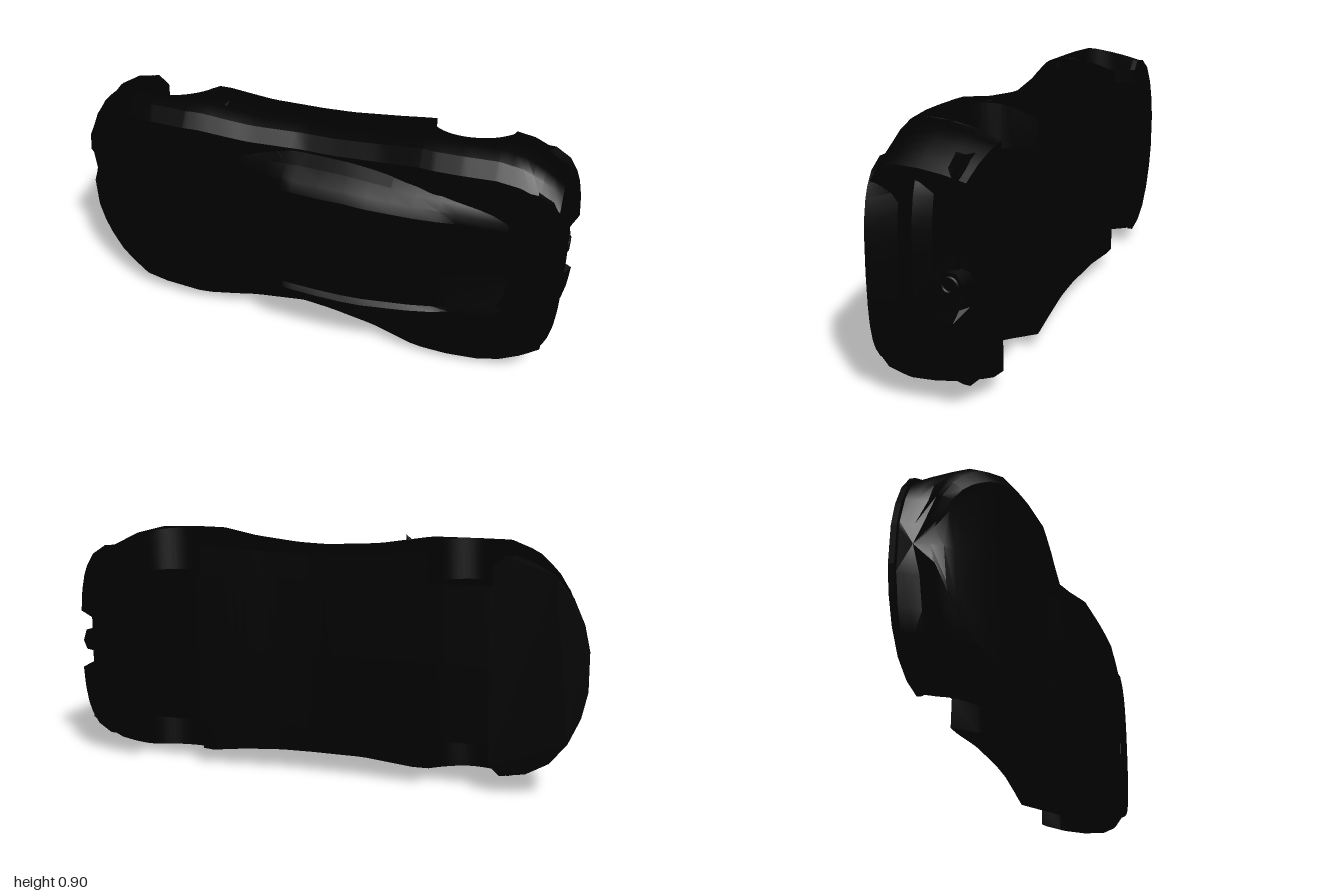
import * as THREE from 'three';
import { toCreasedNormals } from 'three/addons/utils/BufferGeometryUtils.js';

const MID = 0.45; // centre line of the car, which stands on its side

// Piecewise linear lookup in [x, value] pairs
function at(table, x) {
  if (x <= table[0][0]) return table[0][1];
  for (let i = 1; i < table.length; i++) {
    const [x0, v0] = table[i - 1], [x1, v1] = table[i];
    if (x <= x1) return v0 + (v1 - v0) * (x - x0) / (x1 - x0);
  }
  return table[table.length - 1][1];
}

const halfWidth = [[-0.985, 0.09], [-0.97, 0.15], [-0.93, 0.25], [-0.87, 0.33], [-0.8, 0.39], [-0.7, 0.427], [-0.4, 0.43],
  [-0.2, 0.402], [0, 0.395], [0.12, 0.4], [0.3, 0.42], [0.45, 0.447], [0.6, 0.45], [0.72, 0.448], [0.8, 0.43], [0.88, 0.39], [0.94, 0.345]];
const shoulder = [[-0.985, -0.08], [-0.96, -0.05], [-0.9, -0.012], [-0.8, 0.04], [-0.7, 0.08], [-0.6, 0.105], [-0.45, 0.12],
  [-0.28, 0.11], [0, 0.085], [0.3, 0.12], [0.5, 0.16], [0.6, 0.165], [0.8, 0.155], [0.94, 0.152]];
const floor = [[-0.985, -0.2], [-0.67, -0.215], [-0.5, -0.21], [-0.25, -0.19], [0, -0.177], [0.15, -0.18], [0.45, -0.2],
  [0.6, -0.2], [0.8, -0.185], [0.94, -0.165]];
const roof = [[-0.32, 0.08], [-0.2, 0.135], [-0.04, 0.195], [0.1, 0.207], [0.28, 0.213], [0.45, 0.203], [0.6, 0.182], [0.72, 0.16], [0.84, 0.13]];
const diffuser = [[0.72, -0.193], [0.94, -0.12]];
const noseSetback = [[-0.2, 0], [-0.14, 0.04], [-0.07, 0]];

const wheels = [{ x: -0.585, z: -0.13 }, { x: 0.585, z: -0.13 }];
const ARCH = 0.148;

function geometry(pos, idx) {
  const g = new THREE.BufferGeometry();
  g.setAttribute('position', new THREE.Float32BufferAttribute(pos, 3));
  g.setIndex(idx);
  return toCreasedNormals(g, 0.6);
}

// Skin closed rings of [x, y, z] points
function loft(rings) {
  const n = rings[0].length, pos = rings.flat(2), idx = [];
  for (let i = 0; i < rings.length - 1; i++)
    for (let j = 0; j < n; j++) {
      const k = (j + 1) % n, a = i * n + j, b = i * n + k, c = b + n, d = a + n;
      idx.push(a, b, c, a, c, d);
    }
  for (const end of [0, rings.length - 1]) {
    const ring = rings[end], c = pos.length / 3;
    pos.push(ring[0][0], MID, ring.reduce((s, p) => s + p[2], 0) / n);
    for (let j = 0; j < n; j++) {
      const a = end * n + j, b = end * n + (j + 1) % n;
      idx.push(...(end ? [c, a, b] : [c, b, a]));
    }
  }
  return geometry(pos, idx);
}

// Open surface through equal rows of [x, h, z] points
function sheet(rows) {
  const n = rows[0].length, idx = [];
  for (let i = 0; i < rows.length - 1; i++)
    for (let j = 0; j < n - 1; j++) {
      const a = i * n + j, d = a + n;
      idx.push(a, a + 1, d + 1, a, d + 1, d);
    }
  return geometry(rows.flat(2), idx);
}

// Full ring from half-section points [h, z] running from bottom to top centre
function mirrorRing(x, half) {
  const fade = Math.min(1, Math.max(0, (-0.88 - x) / 0.08));
  const px = (z) => x + fade * at(noseSetback, z);
  const right = half.map(([h, z]) => [px(z), MID + h, z]);
  const left = half.slice(1, -1).reverse().map(([h, z]) => [px(z), MID - h, z]);
  return [...right, ...left];
}

// Lower body section, with the sill lifted into the wheel arches
function bodySection(x) {
  const w = at(halfWidth, x), s = at(shoulder, x), f = at(floor, x);
  const belt = s - at([[-0.95, 0.06], [-0.7, 0.085], [0.94, 0.085]], x);
  let a = f;
  for (const c of wheels) {
    const d = ARCH * ARCH - (x - c.x) ** 2;
    if (d > 0) a = Math.max(a, c.z + Math.sqrt(d));
  }
  a = Math.min(a, belt - 0.005);
  const side = (z) => w * (1 - 0.13 * ((belt - z) / 0.27) ** 2);
  const inner = Math.min(0.28, 0.7 * w), mid = x > 0.72 ? at(diffuser, x) : f;
  const half = [[0, mid], [inner, mid], [inner, a]];
  for (const t of [0, 0.33, 0.66, 1]) {
    const z = a + (belt - a) * t;
    half.push([side(z), z]);
  }
  half.push([w * 0.955, s - 0.035], [w * 0.83, s], [w * 0.62, s - 0.008], [0, s - 0.02]);
  return half;
}

// Cabin section from base to roof centre, with raised buttress rails
function cabinSection(x) {
  const base = at(shoulder, x) - 0.035, r = Math.max(at(roof, x), base + 0.004), H = r - base;
  const rail = at([[-0.1, 0], [-0.03, 0.008], [0.28, 0.012], [0.54, 0.009], [0.6, 0]], x);
  const w = at([[-0.32, 0.85], [-0.04, 1], [0.2, 1], [0.57, 0.9], [0.84, 0.75]], x);
  return [[0.335 * w, base], [0.29 * w, base + 0.6 * H], [0.255 * w, base + 0.93 * H], [0.215 * w, r + rail],
    [0.197 * w, r - 0.005], [0, r]];
}

// Thin panel lying just above one strip of the cabin
function cabinPanel(x0, x1, from, inset0, inset1) {
  const rows = [];
  for (let i = 0; i <= 12; i++) {
    const x = x0 + (x1 - x0) * i / 12, s = cabinSection(x), [p, q] = [s[from], s[from + 1]];
    rows.push([inset0, inset1].map((t) => [x, p[0] + (q[0] - p[0]) * t, p[1] + (q[1] - p[1]) * t + 0.004]));
  }
  return sheet(rows);
}

// Folded tail: rows of [z, rear x, width scale], bowed in plan and notched around the exhaust
function tailFascia() {
  const bow = [[0, 0], [0.13, 0.003], [0.2, 0.01], [0.26, 0.022], [0.3, 0.037], [0.345, 0.065], [0.38, 0.12]];
  const cols = [0, 0.09, 0.115, 0.16, 0.2, 0.26, 0.3, 0.345, 0.38];
  const plan = [...cols.slice(1).reverse().map((h) => -h), ...cols];
  const rows = [[0.145, 0.88, 0.9], [0.158, 0.985, 0.9], [0.06, 0.955, 1], [0, 0.98, 1], [-0.06, 0.965, 1], [-0.138, 1, 1], [-0.16, 0.92, 0.98]];
  return sheet(rows.map(([z, x, k]) => plan.map((h) => {
    const rear = x - at(bow, Math.abs(h));
    return [z < -0.1 && Math.abs(h) < 0.1 ? Math.min(rear, 0.95) : rear, h * k, z];
  })));
}

export function createModel() {
  const model = new THREE.Group();
  model.name = 'carBody';
  const black = new THREE.MeshStandardMaterial({ color: 0x010101, side: THREE.DoubleSide });
  black.name = 'black';
  const add = (name, geo, centred = true) => {
    const mesh = new THREE.Mesh(geo, black);
    mesh.name = name;
    if (centred) mesh.position.y = MID;
    model.add(mesh);
    return mesh;
  };

  // Main shell, with extra stations around the wheel arches
  const xs = new Set();
  for (let x = -0.985; x < 0.94; x += 0.035) xs.add(+x.toFixed(3));
  xs.add(0.94);
  for (const c of wheels) for (let i = 0; i <= 24; i++) xs.add(c.x - ARCH * Math.cos(Math.PI * i / 24));
  const stations = [...xs].sort((a, b) => a - b);
  add('bodyShell', loft(stations.map((x) => mirrorRing(x, bodySection(x)))), false);

  // Cabin and engine cover
  const cabinX = [-0.32, -0.26, -0.2, -0.12, -0.04, 0, 0.1, 0.2, 0.28, 0.37, 0.45, 0.54, 0.6, 0.66, 0.72, 0.78, 0.84];
  add('cabin', loft(cabinX.map((x) => {
    const s = cabinSection(x);
    return mirrorRing(x, [[0, s[0][1] - 0.02], ...s]);
  })), false);

  // Windows and mirrors
  for (const side of [1, -1]) {
    const s = side > 0 ? 'left' : 'right';
    add(s + 'SideWindow', cabinPanel(-0.16, 0.36, 0, 0.35, 0.95)).scale.y = side;
    add(s + 'Windscreen', cabinPanel(-0.28, -0.06, 4, 0, 1)).scale.y = side;
    add(s + 'EngineWindow', cabinPanel(0.06, 0.56, 4, 0.05, 1)).scale.y = side;
    const mirror = add(s + 'Mirror', new THREE.ConeGeometry(0.02, 0.05, 6));
    mirror.position.set(-0.32, MID + side * 0.417, 0);
    mirror.rotation.z = side > 0 ? -0.5 : Math.PI + 0.5;
  }

  // Front splitter
  const edge = [[-1, 0.07], [-0.98, 0.16], [-0.94, 0.25], [-0.88, 0.325], [-0.8, 0.37], [-0.71, 0.385], [-0.67, 0.35]];
  const outline = [...edge, ...edge.slice().reverse().map(([x, h]) => [x, -h])];
  const splitter = new THREE.ExtrudeGeometry(new THREE.Shape(outline.map((p) => new THREE.Vector2(...p))),
    { depth: 0.02, bevelEnabled: false });
  add('frontSplitter', splitter).position.z = -0.222;

  // Tail
  add('tailFascia', tailFascia());

  // Exhaust: housing and pipe
  const housing = add('exhaustHousing', new THREE.CylinderGeometry(0.045, 0.055, 0.06, 6));
  housing.rotation.z = -Math.PI / 2;
  housing.position.set(0.945, MID, -0.12);
  const pipe = add('exhaustPipe', new THREE.TorusGeometry(0.025, 0.006, 8, 18));
  pipe.rotation.y = Math.PI / 2;
  pipe.position.set(0.975, MID, -0.12);
  return model;
}
